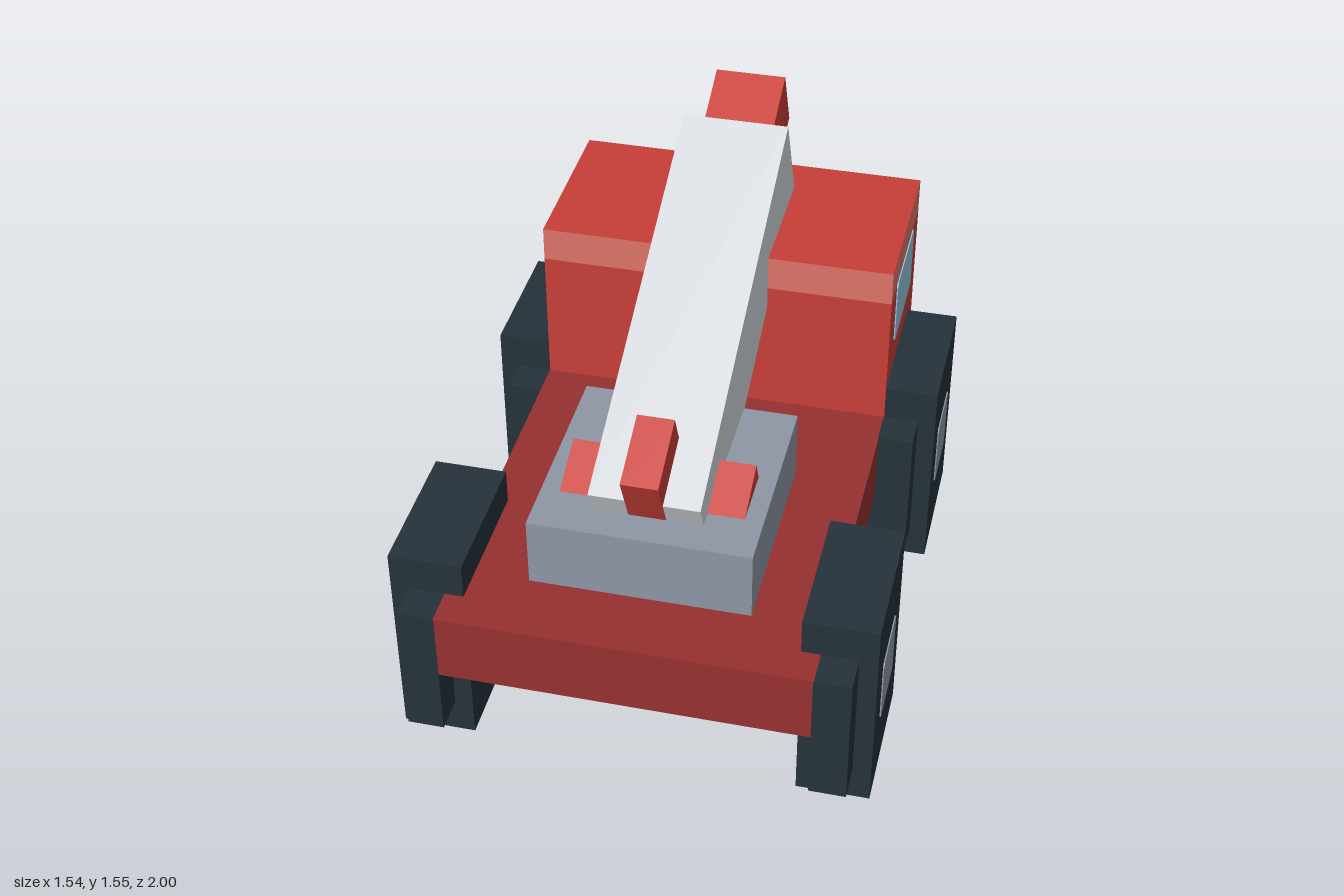
import * as THREE from 'three';

const mat = (name, color) => Object.assign(new THREE.MeshStandardMaterial({ color }), { name });

export function createModel() {
  const red = mat('cab red', 0xc73e38);
  const darkRed = mat('chassis dark red', 0x963030);
  const paleRed = mat('roof band pale red', 0xdb7467);
  const rubber = mat('tyre dark blue', 0x25313a);
  const steel = mat('steel blue grey', 0x8e96a5);
  const silver = mat('boom silver', 0xd3d7db);
  const glass = mat('window blue', 0x90c4dd);
  const lamp = mat('headlight yellow', 0xe3c75c);

  const model = new THREE.Group();
  model.name = 'craneTruck';

  // Box given by its [min, max] range on each axis
  const box = (name, material, x, y, z, parent = model) => {
    const mesh = new THREE.Mesh(
      new THREE.BoxGeometry(x[1] - x[0], y[1] - y[0], z[1] - z[0]), material);
    mesh.position.set((x[0] + x[1]) / 2, (y[0] + y[1]) / 2, (z[0] + z[1]) / 2);
    mesh.name = name;
    parent.add(mesh);
    return mesh;
  };

  // Thin plate with slightly rounded corners, facing local +z
  const plate = (name, material, w, h, r, parent = model) => {
    const s = new THREE.Shape();
    const a = w / 2, b = h / 2;
    s.moveTo(-a + r, -b);
    s.lineTo(a - r, -b);
    s.quadraticCurveTo(a, -b, a, -b + r);
    s.lineTo(a, b - r);
    s.quadraticCurveTo(a, b, a - r, b);
    s.lineTo(-a + r, b);
    s.quadraticCurveTo(-a, b, -a, b - r);
    s.lineTo(-a, -b + r);
    s.quadraticCurveTo(-a, -b, -a + r, -b);
    const geometry = new THREE.ExtrudeGeometry(s, { depth: 0.004, bevelEnabled: false, curveSegments: 4 });
    const mesh = new THREE.Mesh(geometry, material);
    mesh.name = name;
    parent.add(mesh);
    return mesh;
  };

  // Chassis, cab and bumper
  box('chassis', darkRed, [-0.59, 0.59], [0.355, 0.59], [-0.295, 1]);
  box('cab', red, [-0.59, 0.59], [0.355, 1.058], [-0.882, -0.295]);
  box('roofBand', [paleRed, paleRed, red, red, paleRed, paleRed],
    [-0.59, 0.59], [1.058, 1.176], [-0.882, -0.295]);
  box('bumper', rubber, [-0.59, 0.59], [0.355, 0.472], [-1, -0.882]);

  // Plates on the cab's outer end
  const endPlate = (name, material, x, y, w, h, r) => {
    const p = plate(name, material, w, h, r);
    p.position.set(x, y, -0.882);
    p.rotation.y = Math.PI;
  };
  endPlate('windshield', glass, 0, 0.882, 0.94, 0.352, 0.012);
  endPlate('grille', rubber, 0, 0.531, 0.705, 0.117, 0.008);

  for (const side of [1, -1]) {
    endPlate('headlight', lamp, side * 0.53, 0.531, 0.118, 0.117, 0.008);

    const sideWindow = plate('sideWindow', glass, 0.353, 0.235, 0.02);
    sideWindow.position.set(side * 0.59, 0.941, -0.588);
    sideWindow.rotation.y = side * Math.PI / 2;

    // Wheels: tall outer block crossed by a longer, lower one
    for (const z of [0.647, -0.53]) {
      const wheel = new THREE.Group();
      wheel.name = 'wheel';
      wheel.position.set(side * 0.647, 0.355, z);
      model.add(wheel);
      box('tyre', rubber, [-0.118, 0.118], [-0.355, 0.355], [-0.235, 0.235], wheel);
      box('tyreTread', rubber, [-0.059, 0.059], [-0.235, 0.235], [-0.353, 0.353], wheel);
      const hub = plate('hub', steel, 0.235, 0.235, 0.018, wheel);
      hub.position.x = side * 0.118;
      hub.rotation.y = side * Math.PI / 2;
    }
  }

  // Turret base and tilted boom
  box('turret', steel, [-0.353, 0.353], [0.59, 0.825], [0.06, 0.765]);
  const boom = new THREE.Group();
  boom.name = 'boom';
  boom.position.set(0, 1.0475, -0.0225);
  boom.rotation.x = 0.4346;
  model.add(boom);
  box('boomBeam', silver, [-0.176, 0.176], [-0.176, 0.176], [-0.705, 0.705], boom);
  box('boomTip', red, [-0.1175, 0.1175], [-0.1175, 0.1175], [-0.94, -0.705], boom);
  box('boomHandle', red, [-0.059, 0.059], [0.06, 0.294], [0.47, 0.708], boom);
  box('boomPivot', red, [-0.293, 0.293], [-0.059, 0.059], [0.47, 0.703], boom);

  return model;
}
